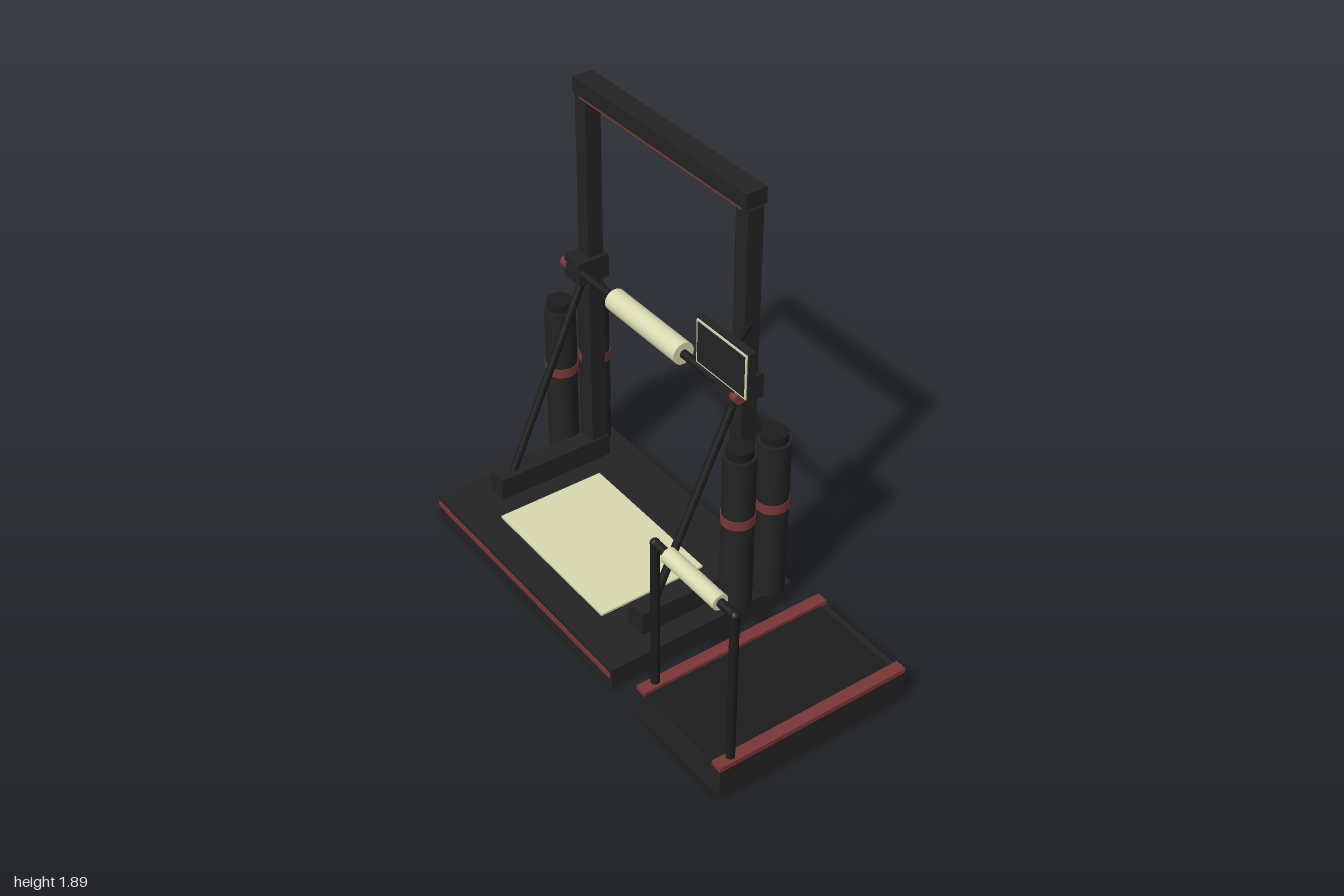
import * as THREE from 'three';

export function createModel() {
  const model = new THREE.Group();
  const mat = (name, color) => {
    const m = new THREE.MeshStandardMaterial({ color });
    m.name = name;
    return m;
  };
  const frame = mat('charcoal frame', 0x232323);
  const steel = mat('black steel', 0x1c1c1d);
  const red = mat('dull red', 0x7a3636);
  const cream = mat('cream', 0xd8d8b0);

  const add = (name, geometry, material) => {
    const mesh = new THREE.Mesh(geometry, material);
    mesh.name = name;
    model.add(mesh);
    return mesh;
  };
  // box given by its extents on each axis
  const box = (name, material, [x0, x1], [y0, y1], [z0, z1]) => {
    const mesh = add(name, new THREE.BoxGeometry(x1 - x0, y1 - y0, z1 - z0), material);
    mesh.position.set((x0 + x1) / 2, (y0 + y1) / 2, (z0 + z1) / 2);
    return mesh;
  };
  // round rod between two points
  const rod = (name, material, r, from, to) => {
    const a = new THREE.Vector3(...from), b = new THREE.Vector3(...to);
    const dir = b.clone().sub(a);
    const mesh = add(name, new THREE.CylinderGeometry(r, r, dir.length(), 24), material);
    mesh.position.copy(a).add(b).multiplyScalar(0.5);
    mesh.quaternion.setFromUnitVectors(new THREE.Vector3(0, 1, 0), dir.normalize());
    return mesh;
  };

  const CX = -0.325;      // middle of the lifting frame
  const HALF = 0.505;     // upright offset from the middle
  const BAR_Y = 1.06, BAR_Z = -0.2;

  // main platform with front stripe and floor mat
  box('mainPlatform', frame, [-0.966, 0.318], [0, 0.09], [-0.435, 0.432]);
  box('platformStripe', red, [-0.957, 0.309], [0.044, 0.07], [0.43, 0.436]);
  box('floorMat', cream, [-0.69, 0.046], [0.09, 0.1], [-0.2, 0.292]);

  // uprights, feet, braces, carriages and cylinders on both sides
  for (const side of [-1, 1]) {
    const x = CX + side * HALF;
    box('upright', frame, [x - 0.035, x + 0.035], [0.09, 1.82], [-0.31, -0.24]);
    box('foot', frame, [x - 0.045, x + 0.045], [0.09, 0.19], [-0.32, 0.225]);
    rod('brace', steel, 0.017, [x, 0.17, 0.145], [x, 1.04, -0.252]);
    box('carriage', frame, [x - 0.053, x + 0.053], [1.005, 1.11], [-0.325, -0.182]);
    rod('barEnd', red, 0.026, [x + side * 0.04, BAR_Y, BAR_Z], [x + side * 0.075, BAR_Y, BAR_Z]);

    const tx = CX + side * 0.608;
    for (const z of [-0.183, -0.348]) {
      rod('resistanceCylinder', frame, 0.066, [tx, 0.09, z], [tx, 0.825, z]);
      rod('cylinderCap', steel, 0.054, [tx, 0.825, z], [tx, 0.862, z]);
      rod('cylinderBand', red, 0.069, [tx, 0.51, z], [tx, 0.552, z]);
    }
  }

  // top beam with red underside strip
  box('topBeam', frame, [-0.865, 0.215], [1.826, 1.892], [-0.322, -0.23]);
  box('beamStrip', red, [-0.83, 0.18], [1.813, 1.83], [-0.316, -0.234]);

  // lifting bar and grip
  rod('liftingBar', steel, 0.018, [CX - HALF, BAR_Y, BAR_Z], [CX + HALF, BAR_Y, BAR_Z]);
  rod('barGrip', cream, 0.048, [-0.553, BAR_Y, BAR_Z], [-0.097, BAR_Y, BAR_Z]);

  // display on its arm
  box('display', frame, [0.168, 0.472], [1.235, 1.435], [-0.09, -0.058]);
  box('displayBorder', cream, [0.175, 0.465], [1.241, 1.429], [-0.058, -0.054]);
  box('displayScreen', frame, [0.184, 0.456], [1.25, 1.42], [-0.054, -0.051]);
  rod('displayArm', steel, 0.013, [0.2, 1.333, -0.28], [0.32, 1.333, -0.085]);

  // side platform with deck and rails
  box('sidePlatform', frame, [0.487, 1], [0, 0.131], [-0.435, 0.435]);
  box('sideDeck', steel, [0.537, 0.95], [0.131, 0.137], [-0.405, 0.43]);
  box('sideRail', red, [0.487, 0.537], [0.131, 0.152], [-0.435, 0.435]);
  box('sideRail', red, [0.95, 1], [0.131, 0.152], [-0.435, 0.435]);

  // side handle with rounded elbows
  const HY = 0.828, HZ = 0.367;
  for (const x of [0.51, 0.97]) {
    rod('handlePost', steel, 0.0175, [x, 0.13, HZ], [x, HY, HZ]);
    add('handleElbow', new THREE.SphereGeometry(0.0195, 20, 14), steel).position.set(x, HY, HZ);
  }
  rod('handleBar', steel, 0.0175, [0.51, HY, HZ], [0.97, HY, HZ]);
  rod('handleGrip', cream, 0.033, [0.59, HY, HZ], [0.89, HY, HZ]);

  return model;
}
